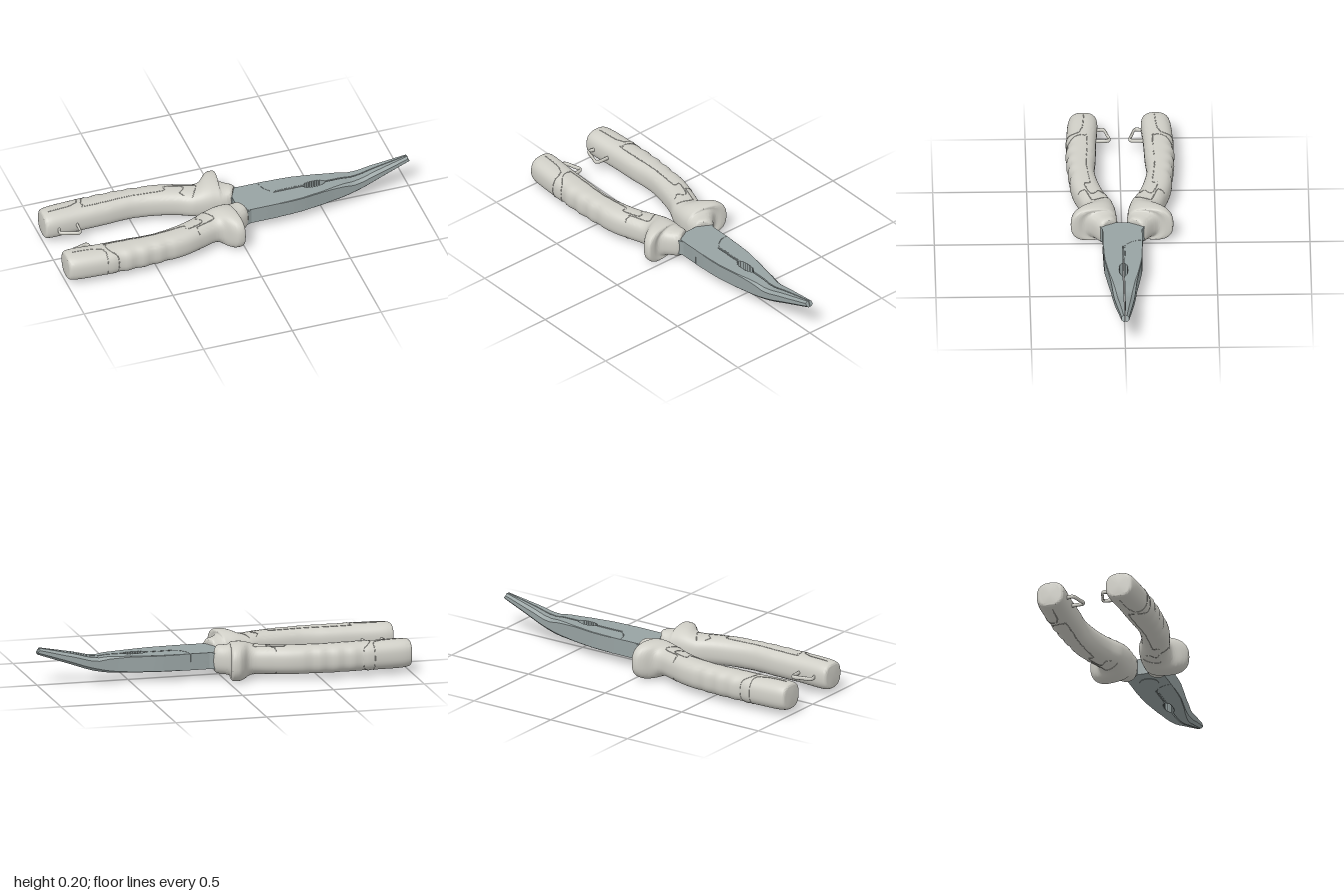
import * as THREE from 'three';
import { toCreasedNormals } from 'three/addons/utils/BufferGeometryUtils.js';

const gripMat = new THREE.MeshStandardMaterial({ color: 0xd0cfc7 });
const steelMat = new THREE.MeshStandardMaterial({ color: 0x98a3a3 });
const V = (x, y, z) => new THREE.Vector3(x, y, z);

function add(parent, name, geometry, material) {
  const mesh = new THREE.Mesh(geometry, material);
  mesh.name = name;
  parent.add(mesh);
  return mesh;
}

// Skin closed rings of points, with both ends capped
function loft(rings, flip, crease) {
  const n = rings[0].length, pos = [], idx = [];
  const tri = (a, b, c) => (flip ? idx.push(a, c, b) : idx.push(a, b, c));
  rings.forEach(r => r.forEach(p => pos.push(p.x, p.y, p.z)));
  for (let i = 0; i < rings.length - 1; i++) {
    for (let j = 0; j < n; j++) {
      const a = i * n + j, b = i * n + (j + 1) % n;
      tri(a, a + n, b);
      tri(b, a + n, b + n);
    }
  }
  [0, rings.length - 1].forEach((r, end) => {
    const c = V(0, 0, 0);
    rings[r].forEach(p => c.addScaledVector(p, 1 / n));
    const k = pos.length / 3;
    pos.push(c.x, c.y, c.z);
    for (let j = 0; j < n; j++) {
      const a = r * n + j, b = r * n + (j + 1) % n;
      if (end) tri(k, b, a); else tri(k, a, b);
    }
  });
  const g = new THREE.BufferGeometry();
  g.setAttribute('position', new THREE.Float32BufferAttribute(pos, 3));
  g.setIndex(idx);
  return toCreasedNormals(g, crease);
}

// Handle stations: outer x, outer z, inner x, inner z, half height
const stations = [
  [-1, .235, -1, .15, .05], [-.995, .262, -.995, .122, .068], [-.97, .272, -.97, .116, .075],
  [-.8, .285, -.8, .125, .076], [-.65, .29, -.65, .13, .076], [-.5, .282, -.5, .138, .076],
  [-.33, .262, -.38, .118, .076], [-.22, .228, -.27, .085, .076], [-.14, .205, -.2, .05, .077],
  [-.11, .212, -.17, .042, .083], [-.07, .255, -.13, .034, .097], [-.045, .272, -.1, .03, .102],
  [-.01, .268, -.07, .028, .101], [-.008, .24, -.05, .026, .095], [-.018, .2, -.04, .025, .083],
  [0, .172, -.02, .025, .078], [.05, .128, .005, .026, .074], [.058, .113, .013, .03, .066],
  [.05, .1, .02, .04, .05]];
const outerCurve = new THREE.CatmullRomCurve3(stations.map(s => V(s[0], s[4], s[1])));
const innerCurve = new THREE.CatmullRomCurve3(stations.map(s => V(s[2], s[4], s[3])));
const LAST = stations.length - 1;

// Point on the handle skin at station k and angle a (0 = outer side)
function gripPoint(k, a, side) {
  const o = outerCurve.getPoint(k / LAST), i = innerCurve.getPoint(k / LAST);
  // Finger grooves on the outer side
  if (o.x > -.76 && o.x < -.4 && k < 8) {
    o.z -= .008 * Math.pow(Math.abs(Math.cos(Math.PI * (o.x + .76) / .09 + Math.PI / 2)), 2);
  }
  const round = v => Math.sign(v) * Math.pow(Math.abs(v), .78);
  const c = round(Math.cos(a)) / 2;
  return V((o.x + i.x) / 2 + (o.x - i.x) * c, .102 + o.y * round(Math.sin(a)),
    side * ((o.z + i.z) / 2 + (o.z - i.z) * c));
}

// Panel seams as [station, degrees]
const seams = [
  [[3.08, 0], [3.08, 40], [3.05, 75], [2.9, 88], [2.5, 92], [2.05, 92]],
  [[3.5, 0], [3.45, 40], [3.2, 80], [3.2, 100], [3.5, 108], [4.5, 108], [5.5, 106], [6.3, 98],
    [6.6, 80], [6.9, 80], [7.1, 110], [7.4, 125]],
  [[6.7, 30], [6.75, 60], [7, 72], [7.7, 70], [8.3, 76], [8.2, 105], [8, 130]]];

function buildHandle(side) {
  const handle = new THREE.Group();
  const rings = [];
  for (let k = 0; k <= LAST * 8; k++) {
    rings.push(Array.from({ length: 40 }, (_, j) => gripPoint(k / 8, j * Math.PI / 20, side)));
  }
  add(handle, 'grip', loft(rings, side < 0, .7), gripMat);
  for (const seam of seams) {
    for (const up of [1, -1]) {
      const path = new THREE.CatmullRomCurve3(seam.map(([k, d]) => V(k, d, 0)));
      const pts = path.getPoints(50).map(p => gripPoint(p.x, up * p.y * Math.PI / 180, side));
      add(handle, 'gripSeam', new THREE.TubeGeometry(new THREE.CatmullRomCurve3(pts), 80, .0022, 5), gripMat);
    }
  }
  // Tether loop on the inner face
  const loop = [[-.925, .125], [-.932, .088], [-.918, .077], [-.88, .066], [-.838, .054], [-.828, .06], [-.822, .13]];
  const strap = new THREE.TubeGeometry(
    new THREE.CatmullRomCurve3(loop.map(([x, z]) => V(x, 0, side * z))), 40, .007, 10);
  strap.scale(1, 1.6, 1).translate(0, .102, 0);
  add(handle, 'tetherLoop', strap, gripMat);
  // Steel tang entering the grip
  const tang = add(handle, 'tang', new THREE.BoxGeometry(.15, .086, .096), steelMat);
  tang.position.set(.015, .1, side * .083);
  tang.rotation.y = side * .46;
  return handle;
}

// Straight-line interpolation through [x, value] pairs
function lerpTable(table, x) {
  let i = 1;
  while (i < table.length - 1 && x > table[i][0]) i++;
  const [x0, a] = table[i - 1], [x1, b] = table[i];
  return THREE.MathUtils.lerp(a, b, THREE.MathUtils.clamp((x - x0) / (x1 - x0), 0, 1));
}
const widths = [[.24, .105], [.3, .104], [.37, .1], [.46, .086], [.56, .07], [.8, .045], [.995, .02]];
const lows = [[.24, .055], [.6, .056], [.65, .061], [.7, .07], [.75, .085], [.8, .103], [.995, .17]];
const highs = [[.24, .145], [.62, .145], [.67, .139], [.72, .144], [.8, .165], [.995, .204]];
const chamfers = [[.24, .002], [.5, .004], [.68, .016], [.85, .015], [.995, .011]];

function buildJaw(side) {
  const xs = [.24, .3, .37, .405];
  for (let i = 0; i <= 16; i++) xs.push(.41 + i * .11 / 16);
  for (let x = .53; x < .99; x += .02) xs.push(x);
  xs.push(.995);
  const rings = xs.map((x, n) => {
    // Toothed pipe-grip opening, then a narrow slit
    const t = (x - .465) / .055;
    const hole = Math.abs(t) < 1.001
      ? .012 + .014 * Math.sqrt(Math.max(0, 1 - t * t)) - (n % 2 ? .005 : 0) : 0;
    const wi = Math.max(hole, x < .41 ? .0025 : .004 - .0025 * Math.max(0, x - .6) / .4);
    const w = lerpTable(widths, x), lo = lerpTable(lows, x), hi = lerpTable(highs, x), c = lerpTable(chamfers, x);
    const lean = .006 * THREE.MathUtils.smoothstep(x, .7, 1);
    return [[wi, lo], [w - c, lo], [w, lo + c], [w, hi - c], [w - c, hi], [wi, hi]]
      .map(([z, y]) => V(x + (y < (lo + hi) / 2 ? lean : -lean), y, side * z));
  });
  return loft(rings, side < 0, .55);
}

function buildJoint() {
  const joint = new THREE.Group();
  // Plan outline of the lapped joint
  const s = new THREE.Shape();
  s.moveTo(.24, -.105);
  s.lineTo(.06, -.105);
  s.quadraticCurveTo(.035, -.104, .022, -.085);
  s.quadraticCurveTo(.01, 0, .022, .085);
  s.quadraticCurveTo(.035, .104, .06, .105);
  s.lineTo(.24, .105);
  for (const [name, y] of [['lowerJointPlate', .055], ['upperJointPlate', .1]]) {
    const g = new THREE.ExtrudeGeometry(s, { depth: .045, bevelEnabled: false, curveSegments: 12 });
    g.rotateX(-Math.PI / 2).translate(0, y, 0);
    add(joint, name, toCreasedNormals(g, .5), steelMat);
  }
  // Lap lines on both faces, opposite-handed
  for (const [y, side] of [[.1445, -1], [.0555, 1]]) {
    const pts = [[.185, .104], [.19, .07], [.205, .04], [.235, .012], [.3, .01], [.4, .01]];
    const curve = new THREE.CatmullRomCurve3(pts.map(([x, z]) => V(x, y, side * z)));
    add(joint, 'lapLine', new THREE.TubeGeometry(curve, 40, .0018, 5), steelMat);
  }
  // Side steps where the halves overlap
  for (const side of [1, -1]) {
    const step = add(joint, 'lapStep', new THREE.BoxGeometry(.003, .045, .003), steelMat);
    step.position.set(.18, side > 0 ? .078 : .122, side * .105);
  }
  const pivot = add(joint, 'pivotRivet', new THREE.CylinderGeometry(.052, .05, .006, 40), steelMat);
  pivot.position.set(.13, .0555, 0);
  return joint;
}

export function createModel() {
  const pliers = new THREE.Group();
  pliers.name = 'bentNosePliers';
  const joint = buildJoint();
  joint.name = 'joint';
  pliers.add(joint);
  for (const side of [1, -1]) {
    const label = side > 0 ? 'front' : 'back';
    const handle = buildHandle(side);
    handle.name = label + 'Handle';
    pliers.add(handle);
    add(pliers, label + 'Jaw', buildJaw(side), steelMat);
  }
  return pliers;
}
